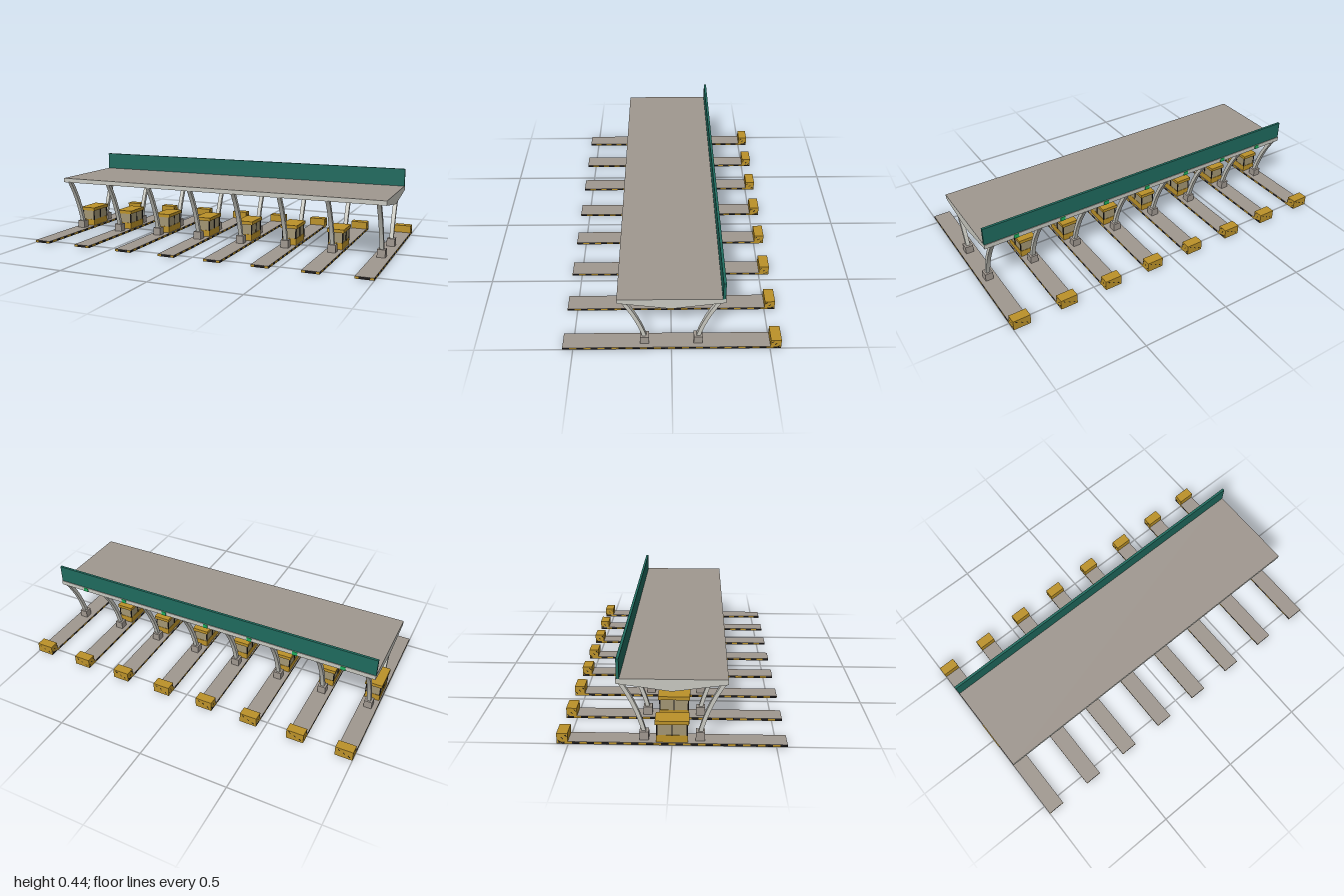
import * as THREE from 'three';
import { mergeGeometries } from 'three/addons/utils/BufferGeometryUtils.js';

const mat = (name, color) => {
  const m = new THREE.MeshStandardMaterial({ color });
  m.name = name;
  return m;
};

// Box given by its size and centre
const box = (w, h, d, x, y, z) => new THREE.BoxGeometry(w, h, d).translate(x, y, z);

// Side outline of [z, y] points extruded along x, centred on x = 0
function extrudeX(points, width) {
  const shape = new THREE.Shape(points.map(([z, y]) => new THREE.Vector2(-z, y)));
  return new THREE.ExtrudeGeometry(shape, { depth: width, bevelEnabled: false })
    .rotateY(Math.PI / 2).translate(-width / 2, 0, 0);
}

function add(parent, name, geometry, material) {
  const mesh = new THREE.Mesh(Array.isArray(geometry) ? mergeGeometries(geometry) : geometry, material);
  mesh.name = name;
  parent.add(mesh);
  return mesh;
}

export function createModel() {
  const concrete = mat('concrete', 0xa09890);
  const light = mat('light metal', 0xc8c8c0);
  const yellow = mat('safety yellow', 0xbc9229);
  const black = mat('black', 0x1c1a1a);
  const glass = mat('tinted window', 0xa39674);
  const teal = mat('teal sign', 0x1f6b5e);
  const green = mat('green lamp', 0x20b060);

  const model = new THREE.Group();
  model.name = 'tollPlaza';
  const W = 0.097, H = 0.013, L = 1.106, lanes = 8, first = -0.9515, step = 1.903 / 7;

  // Curb stripes, alternating along both sides and across the ends
  const stripes = [[], []], count = 31, s = L / count;
  for (let i = 0; i < count; i++) {
    stripes[i % 2].push(box(W, H - 0.002, s, 0, H / 2, -L / 2 + s * (i + 0.5)));
  }
  const corners = [];
  for (const x of [-1, 1]) for (const z of [-1, 1]) {
    corners.push(box(0.02, H - 0.002, 0.001, x * (W / 2 - 0.01), H / 2, z * L / 2));
  }
  const curbBlack = mergeGeometries(stripes[0]);
  const curbYellow = mergeGeometries([...stripes[1], ...corners]);
  const slab = mergeGeometries([0.0005, H - 0.0005].map(y => box(W, 0.001, L, 0, y, 0)));

  // Curved column outline, swept outward towards the roof
  const curve = new THREE.QuadraticBezierCurve(
    new THREE.Vector2(0.136, 0.05), new THREE.Vector2(0.171, 0.195), new THREE.Vector2(0.258, 0.324));
  const outer = [], inner = [];
  for (let i = 0; i <= 12; i++) {
    const p = curve.getPoint(i / 12), t = curve.getTangent(i / 12);
    outer.push([p.x + t.y * 0.01, p.y - t.x * 0.01]);
    inner.unshift([p.x - t.y * 0.01, p.y + t.x * 0.01]);
  }
  const columnGeo = extrudeX([...outer, ...inner], 0.022);

  // Crash block with slanted dashes on its sides and back
  const blockZ = -0.529;
  const blockGeo = box(W, 0.056, 0.054, 0, 0.028, blockZ);
  const dashes = [];
  for (let i = 0; i < 3; i++) {
    const u = (i - 1) * 0.017;
    dashes.push(new THREE.BoxGeometry(W + 0.001, 0.004, 0.014).rotateX(0.78)
      .translate(0, 0.03 + u * 0.8, blockZ + u));
    dashes.push(new THREE.BoxGeometry(0.014, 0.004, 0.001).rotateZ(0.78)
      .translate(u * 1.7, 0.03 + u * 0.8, blockZ - 0.027));
  }
  const dashGeo = mergeGeometries(dashes);

  // Booth pieces
  const posts = [];
  for (const x of [-1, 1]) for (const z of [-1, 0, 1]) {
    posts.push(box(0.006, 0.062, 0.006, x * 0.04, 0.08, z * 0.073));
  }
  const postGeo = mergeGeometries(posts);

  for (let i = 0; i < lanes; i++) {
    const island = new THREE.Group();
    island.name = 'island' + (i + 1);
    island.position.x = first + i * step;
    model.add(island);
    add(island, 'slab', slab, concrete);
    add(island, 'curbBlackStripes', curbBlack, black);
    add(island, 'curbYellowStripes', curbYellow, yellow);
    add(island, 'crashBlock', blockGeo, yellow);
    add(island, 'crashBlockDashes', dashGeo, black);
    for (const side of [0, Math.PI]) {
      const support = new THREE.Group();
      support.name = side ? 'backSupport' : 'frontSupport';
      support.rotation.y = side;
      island.add(support);
      add(support, 'pedestal', box(0.045, 0.045, 0.045, 0, 0.0345, 0.136), concrete);
      add(support, 'column', columnGeo, light);
    }
    // The last island carries no booth
    if (i < lanes - 1) {
      const booth = new THREE.Group();
      booth.name = 'booth';
      island.add(booth);
      add(booth, 'boothBase', box(0.084, 0.038, 0.152, 0, 0.032, 0), yellow);
      add(booth, 'boothWindows', box(0.08, 0.06, 0.148, 0, 0.081, 0), glass);
      add(booth, 'boothPosts', postGeo, black);
      add(booth, 'boothRoof', box(W, 0.019, 0.164, 0, 0.119, 0), yellow);
    }
  }

  // Canopy with a shallow keel underneath
  const RW = 1.985, top = 0.342, edge = 0.317, R = 0.264;
  add(model, 'canopy',
    extrudeX([[R, edge], [R, top], [-R, top], [-R, edge], [0, 0.28]], RW), [light, concrete]);
  add(model, 'canopyEdges',
    [1, -1].map(k => box(RW, top - edge, 0.002, 0, (top + edge) / 2, k * R)), light);
  add(model, 'signBoard', box(RW, 0.1, 0.014, 0, 0.391, -0.254), teal);

  // Lane lamps on the back edge, one over each lane
  const lamps = [];
  for (let i = 0; i < lanes - 1; i++) {
    lamps.push(box(0.028, 0.023, 0.006, first + (i + 0.5) * step, 0.33, -0.266));
  }
  add(model, 'laneLamps', lamps, green);

  return model;
}
